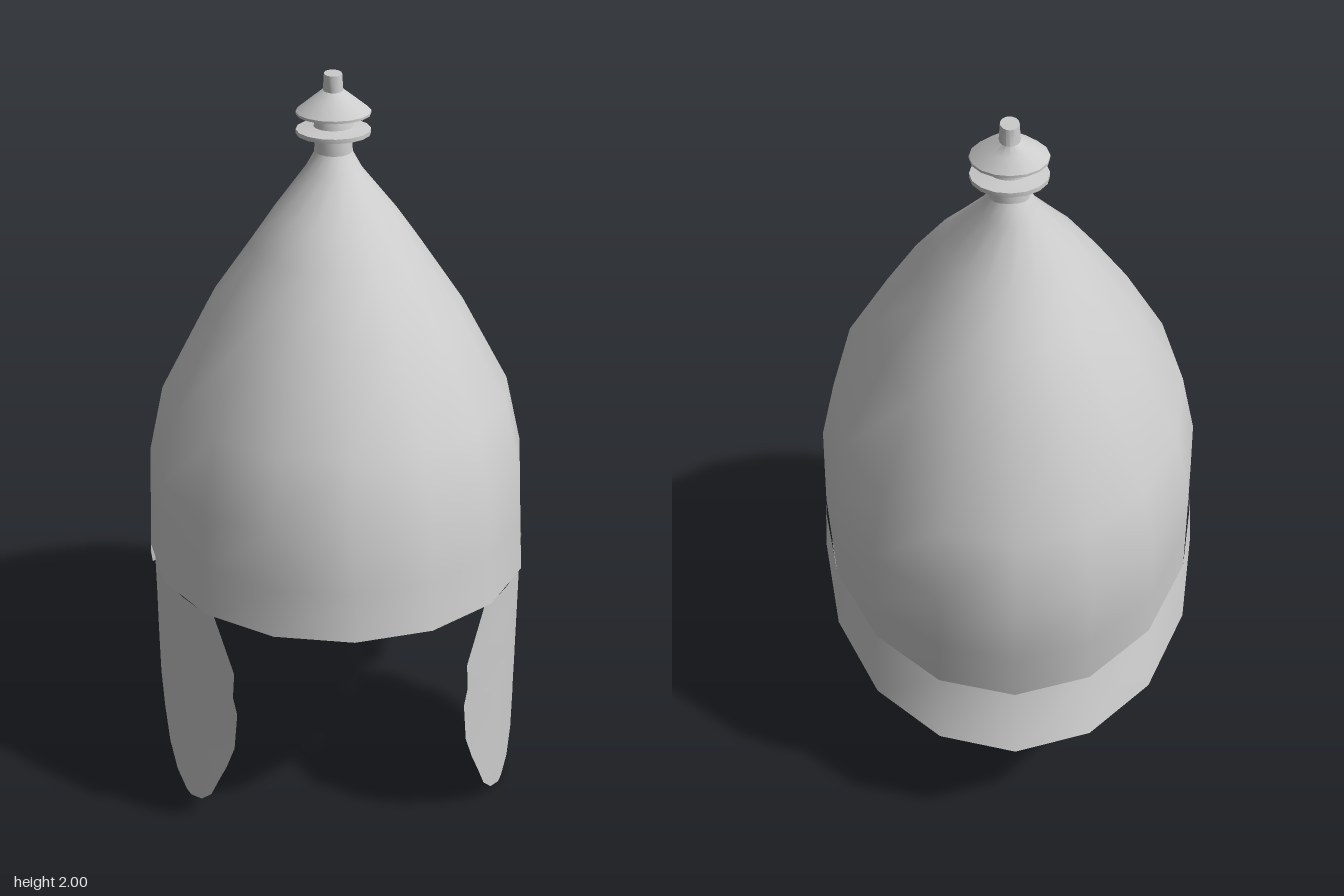
import * as THREE from 'three';
import { mergeVertices, toCreasedNormals } from 'three/addons/utils/BufferGeometryUtils.js';

const material = new THREE.MeshStandardMaterial({ color: 0xcccccc, side: THREE.DoubleSide });
const lerp = THREE.MathUtils.lerp;

// Smooth sheet from a grid of points; rows run upward, columns to the right seen from outside
function sheet(name, rows, cols, point) {
  const pos = [], index = [];
  for (let r = 0; r < rows; r++) {
    for (let c = 0; c < cols; c++) pos.push(...point(r, c));
  }
  for (let r = 0; r < rows - 1; r++) {
    for (let c = 0; c < cols - 1; c++) {
      const a = r * cols + c, b = a + 1, d = a + cols, e = d + 1;
      index.push(a, b, e, a, e, d);
    }
  }
  let geo = new THREE.BufferGeometry();
  geo.setAttribute('position', new THREE.Float32BufferAttribute(pos, 3));
  geo.setIndex(index);
  geo = mergeVertices(geo, 1e-4);
  geo.computeVertexNormals();
  const mesh = new THREE.Mesh(geo, material);
  mesh.name = name;
  return mesh;
}

// Tilted rings of the bowl: front z, front y, half width, side y, back z, back y
const RINGS = [
  [0.72, 0.72, 0.55, 0.64, -0.655, 0.50],
  [0.70, 0.85, 0.545, 0.78, -0.685, 0.67],
  [0.67, 1.00, 0.54, 0.93, -0.69, 0.85],
  [0.59, 1.19, 0.497, 1.12, -0.65, 1.05],
  [0.40, 1.41, 0.365, 1.36, -0.52, 1.31],
  [0.24, 1.56, 0.24, 1.54, -0.39, 1.48],
  [0.12, 1.64, 0.175, 1.63, -0.28, 1.60],
  [0.00, 1.74, 0.08, 1.74, -0.20, 1.74],
  [-0.045, 1.79, 0.052, 1.79, -0.165, 1.79],
];

function ringPoint([zf, yf, w, ys, zb, yb], angle) {
  const c = Math.cos(angle);
  return [
    w * Math.sin(angle),
    c > 0 ? lerp(ys, yf, c) : lerp(ys, yb, -c),
    (zf + zb) / 2 + c * (zf - zb) / 2,
  ];
}

// Lower edge of the neck guard from the ear to the back: angle in degrees, y
const GUARD = [[88, 0.61], [94, 0.53], [112.5, 0.425], [135, 0.375], [157.5, 0.35], [180, 0.34]];

function neckGuard() {
  const edge = [...GUARD, ...GUARD.slice(0, -1).reverse().map(([a, y]) => [360 - a, y])];
  return sheet('neckGuard', 2, edge.length, (r, i) => {
    const angle = THREE.MathUtils.degToRad(edge[i][0]);
    if (r === 1) return ringPoint(RINGS[0], angle);
    return [0.553 * Math.sin(angle), edge[i][1], 0.72 * Math.cos(angle)];
  });
}

// Cheek plate edges, bottom to top: front z, front y, back z, back y
const CHEEK = [
  [0.40, 0.00, 0.37, 0.00],
  [0.46, 0.03, 0.30, 0.02],
  [0.505, 0.08, 0.225, 0.07],
  [0.54, 0.16, 0.16, 0.15],
  [0.565, 0.22, 0.08, 0.22],
  [0.59, 0.30, 0.04, 0.30],
  [0.595, 0.36, 0.05, 0.345],
  [0.60, 0.42, 0.04, 0.38],
  [0.59, 0.47, 0.015, 0.47],
  [0.595, 0.55, 0.03, 0.55],
  [0.575, 0.61, 0.045, 0.60],
  [0.54, 0.70, 0.055, 0.632],
];

function cheekPlate(name, side) {
  const cols = 8;
  return sheet(name, CHEEK.length, cols, (r, c) => {
    const [zf, yf, zb, yb] = CHEEK[r];
    const t = (side > 0 ? c : cols - 1 - c) / (cols - 1);
    const z = lerp(zf, zb, t);
    return [side * 0.54 * Math.sqrt(1 - (z / 0.735) ** 2), lerp(yf, yb, t), z];
  });
}

// Turned finial with two discs and a slightly oval stem
function finial() {
  const profile = [
    [0.054, 1.785], [0.05, 1.832], [0.104, 1.838], [0.104, 1.85], [0.055, 1.858],
    [0.05, 1.878], [0.104, 1.893], [0.104, 1.9], [0.062, 1.932], [0.028, 1.955], [0.025, 2], [0, 2],
  ].map(([r, y]) => new THREE.Vector2(r, y));
  const geo = new THREE.LatheGeometry(profile, 16);
  const p = geo.attributes.position;
  for (let i = 0; i < p.count; i++) {
    const top = THREE.MathUtils.smoothstep(p.getY(i), 1.92, 1.96);
    p.setZ(i, p.getZ(i) * (1 + 0.45 * top) - 0.015 * top);
  }
  const mesh = new THREE.Mesh(toCreasedNormals(geo, 0.7), material);
  mesh.name = 'finial';
  mesh.position.z = -0.112;
  return mesh;
}

export function createModel() {
  const model = new THREE.Group();
  model.name = 'helmet';
  const segments = 16;
  model.add(
    sheet('bowl', RINGS.length, segments + 1,
      (r, c) => ringPoint(RINGS[r], (c % segments) / segments * Math.PI * 2)),
    neckGuard(),
    cheekPlate('leftCheekPlate', 1),
    cheekPlate('rightCheekPlate', -1),
    finial(),
  );
  return model;
}
